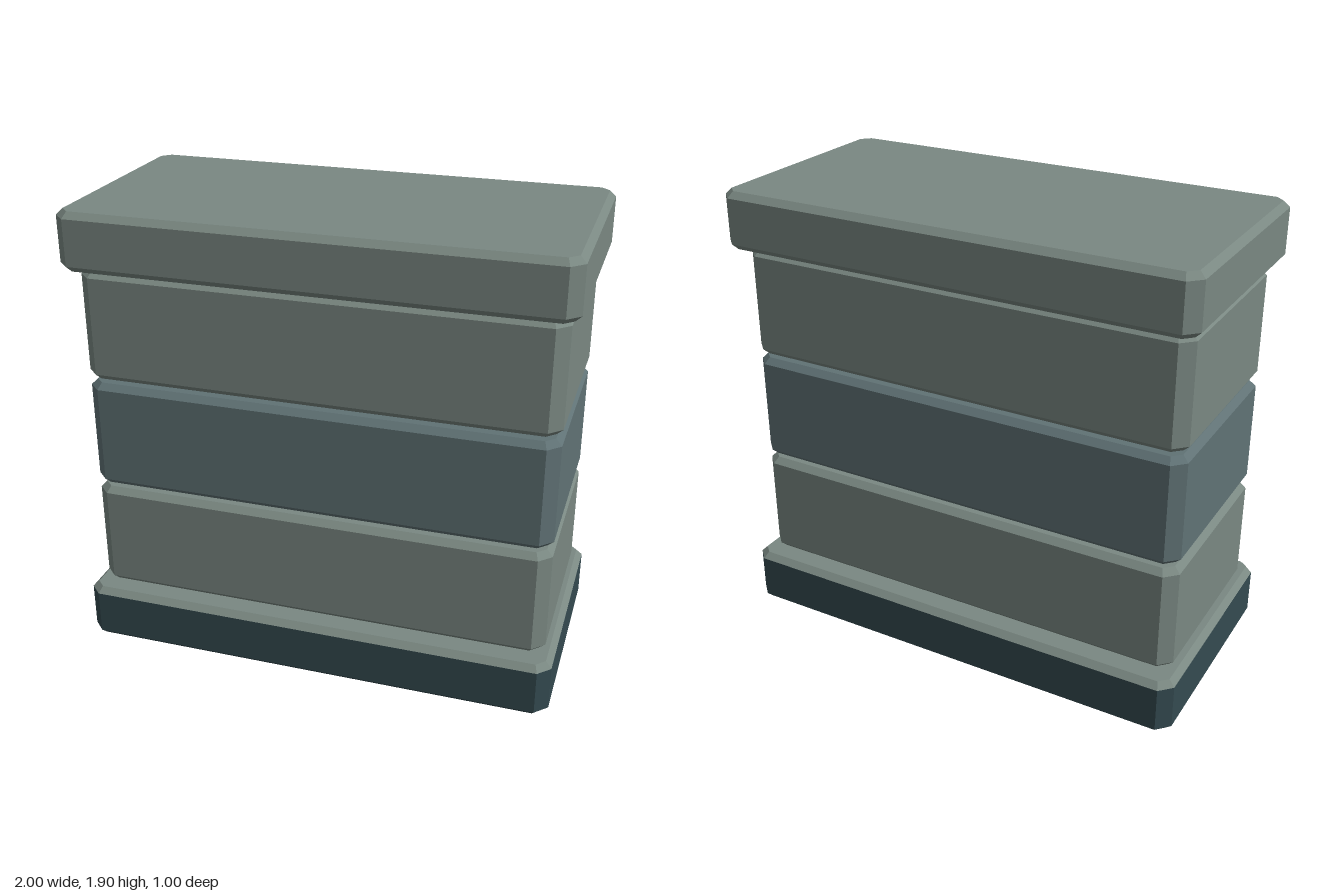
import * as THREE from 'three';

const BEVEL = 0.025;
const CHAMFER = 0.05;
const LIGHT = 0x7a8882, MIDDLE = 0x607275, DARK = 0x344a50;

// Eight-sided outline with cut corners, counter-clockwise seen from above
function ring(hx, hz, y, inset) {
  const x = hx - inset, z = hz - inset;
  const c = CHAMFER - inset * (2 - Math.SQRT2);
  return [
    [x, z - c], [x, c - z], [x - c, -z], [c - x, -z],
    [-x, c - z], [-x, z - c], [c - x, z], [x - c, z],
  ].map(([px, pz]) => new THREE.Vector3(px, y, pz));
}

// Flat-shaded skin through rings from bottom to top, with optional end caps
function loft(name, rings, color, capBottom, capTop) {
  const points = [];
  const fan = (r) => {
    for (let i = 1; i < r.length - 1; i++) points.push(r[0], r[i], r[i + 1]);
  };
  for (let k = 0; k < rings.length - 1; k++) {
    const a = rings[k], b = rings[k + 1];
    for (let i = 0; i < a.length; i++) {
      const j = (i + 1) % a.length;
      points.push(a[i], a[j], b[j], a[i], b[j], b[i]);
    }
  }
  if (capBottom) fan([...rings[0]].reverse());
  if (capTop) fan(rings[rings.length - 1]);
  const geometry = new THREE.BufferGeometry().setFromPoints(points);
  geometry.computeVertexNormals();
  const mesh = new THREE.Mesh(geometry, new THREE.MeshStandardMaterial({ color, flatShading: true }));
  mesh.name = name;
  return mesh;
}

// Bevelled slab; the rim and top face may have their own color
function slab(name, hx, hz, y0, y1, color, topColor = color) {
  const body = [
    ring(hx, hz, y0, BEVEL),
    ring(hx, hz, y0 + BEVEL, 0),
    ring(hx, hz, y1 - BEVEL, 0),
  ];
  const rim = [body[2], ring(hx, hz, y1, BEVEL)];
  const group = new THREE.Group();
  group.name = name;
  group.add(
    loft(name + 'Body', body, color, true, false),
    loft(name + 'Top', rim, topColor, false, true),
  );
  return group;
}

export function createModel() {
  const model = new THREE.Group();
  model.name = 'stackedBlockWall';

  // Wide plinth with a lighter top
  model.add(slab('base', 1, 0.5, 0, 0.238, DARK, LIGHT));

  // Three courses separated by narrow gaps
  [['lowerBlock', LIGHT], ['middleBlock', MIDDLE], ['upperBlock', LIGHT]].forEach(([name, color], i) => {
    const y = 0.241 + i * 0.474;
    model.add(slab(name, 0.96, 0.42, y, y + 0.456, color));
  });

  // Wide coping slab
  model.add(slab('cap', 1, 0.5, 1.663, 1.9, LIGHT));
  return model;
}
